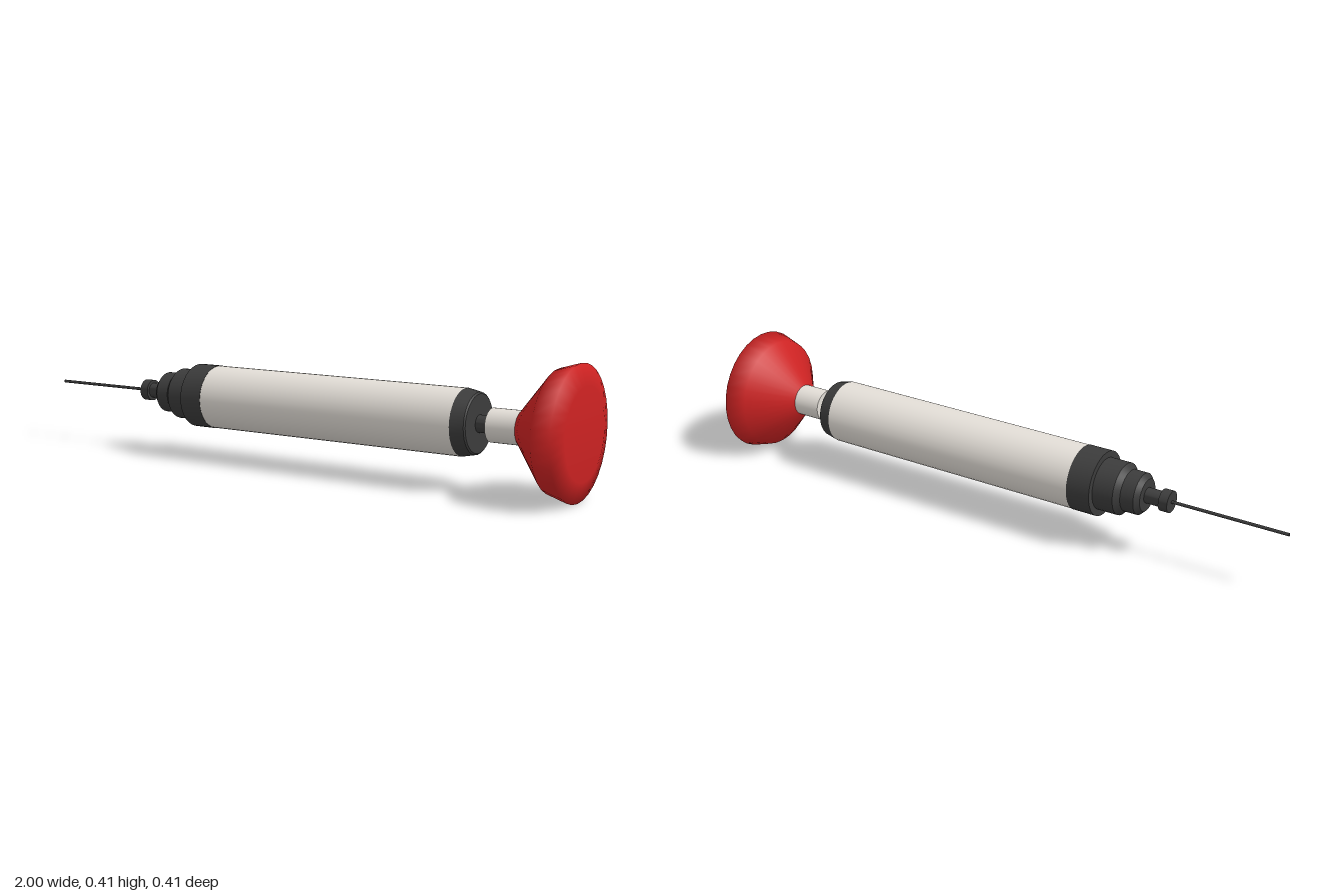
import * as THREE from 'three';
import { toCreasedNormals } from 'three/addons/utils/BufferGeometryUtils.js';

const AXIS_HEIGHT = 0.205;

const paint = (color) => new THREE.MeshStandardMaterial({ color });

// Turned part along x; profile is [x, radius] pairs from -x to +x
function turned(name, material, profile, crease = 0.6, sides = 32) {
  const points = profile.map(([x, r]) => new THREE.Vector2(r, x));
  let geometry = new THREE.LatheGeometry(points, sides);
  geometry.rotateZ(-Math.PI / 2);
  if (crease) geometry = toCreasedNormals(geometry, crease);
  const mesh = new THREE.Mesh(geometry, material);
  mesh.name = name;
  return mesh;
}

// Plain closed cylinder between two x positions
const rod = (x0, x1, r) => [[x0, 0], [x0, r], [x1, r], [x1, 0]];

// Closed cylinder with a chamfer on its -x end
const stepped = (x0, x1, r, c) => [[x0, 0], [x0, r - c], [x0 + c, r], [x1, r], [x1, 0]];

export function createModel() {
  const model = new THREE.Group();
  model.name = 'handPump';
  const dark = paint(0x3c3c3c);
  const pale = paint(0xe4dfd8);
  const red = paint(0xcc2222);

  model.add(
    // Needle and nozzle
    turned('needle', dark, rod(-1, -0.61, 0.005), 0.6, 16),
    turned('needleNut', dark, rod(-0.62, -0.59, 0.035)),
    turned('nozzleNeck', dark, rod(-0.6, -0.53, 0.025)),
    turned('nozzleTip', dark, stepped(-0.537, -0.47, 0.067, 0.015)),
    turned('nozzleBase', dark, stepped(-0.478, -0.385, 0.084, 0.018)),

    // Barrel with its two end fittings
    turned('frontCollar', dark, rod(-0.39, -0.31, 0.105)),
    turned('barrel', pale, rod(-0.31, 0.615, 0.104)),
    turned('rearCap', dark, [[0.615, 0], [0.615, 0.104], [0.658, 0.095], [0.662, 0.09], [0.662, 0]]),

    // Plunger
    turned('plungerNeck', dark, rod(0.655, 0.71, 0.027)),
    turned('plungerRod', pale, rod(0.705, 0.81, 0.052)),

    // Flared push handle, smooth all over
    turned('handle', red, [
      [0.803, 0], [0.803, 0.053], [0.915, 0.185], [0.982, 0.205], [1, 0.14], [1, 0],
    ], 0),
  );

  model.children.forEach((part) => { part.position.y = AXIS_HEIGHT; });
  return model;
}
